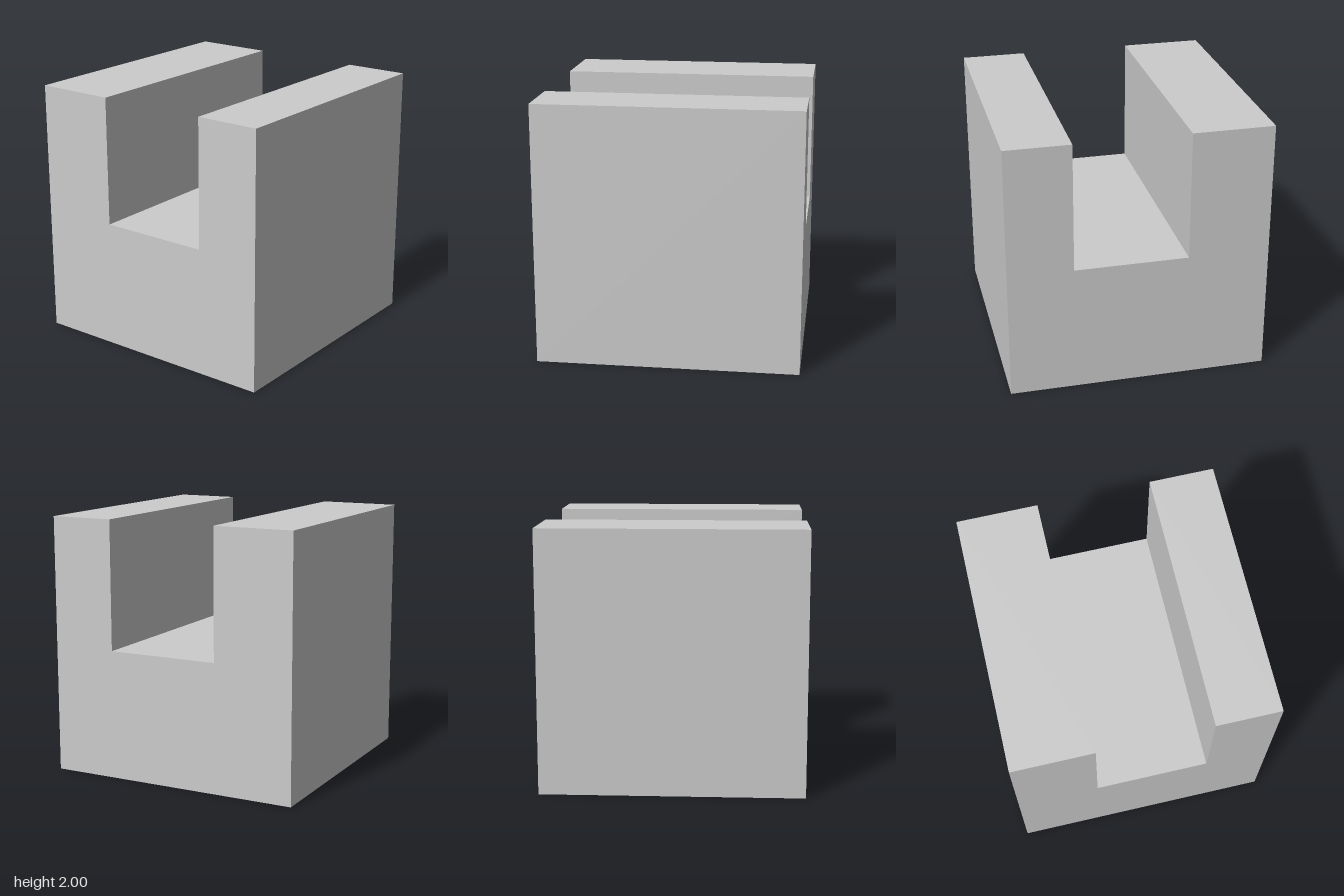
import * as THREE from 'three';

export function createModel() {
  const group = new THREE.Group();
  group.name = 'slottedBlock';

  // U-shaped side profile: horizontal axis is -z, vertical axis is y
  const profile = new THREE.Shape([
    [-1, 0], [1, 0], [1, 2], [0.375, 2],
    [0.375, 1], [-0.5, 1], [-0.5, 2], [-1, 2],
  ].map(([u, y]) => new THREE.Vector2(u, y)));

  // Extrude across the full width, then turn the extrusion onto the x axis
  const geometry = new THREE.ExtrudeGeometry(profile, { depth: 2, bevelEnabled: false });
  geometry.translate(0, 0, -1);
  geometry.rotateY(Math.PI / 2);

  const block = new THREE.Mesh(
    geometry,
    new THREE.MeshStandardMaterial({ color: 0xcccccc, flatShading: true }),
  );
  block.name = 'channelBlock';
  group.add(block);
  return group;
}
